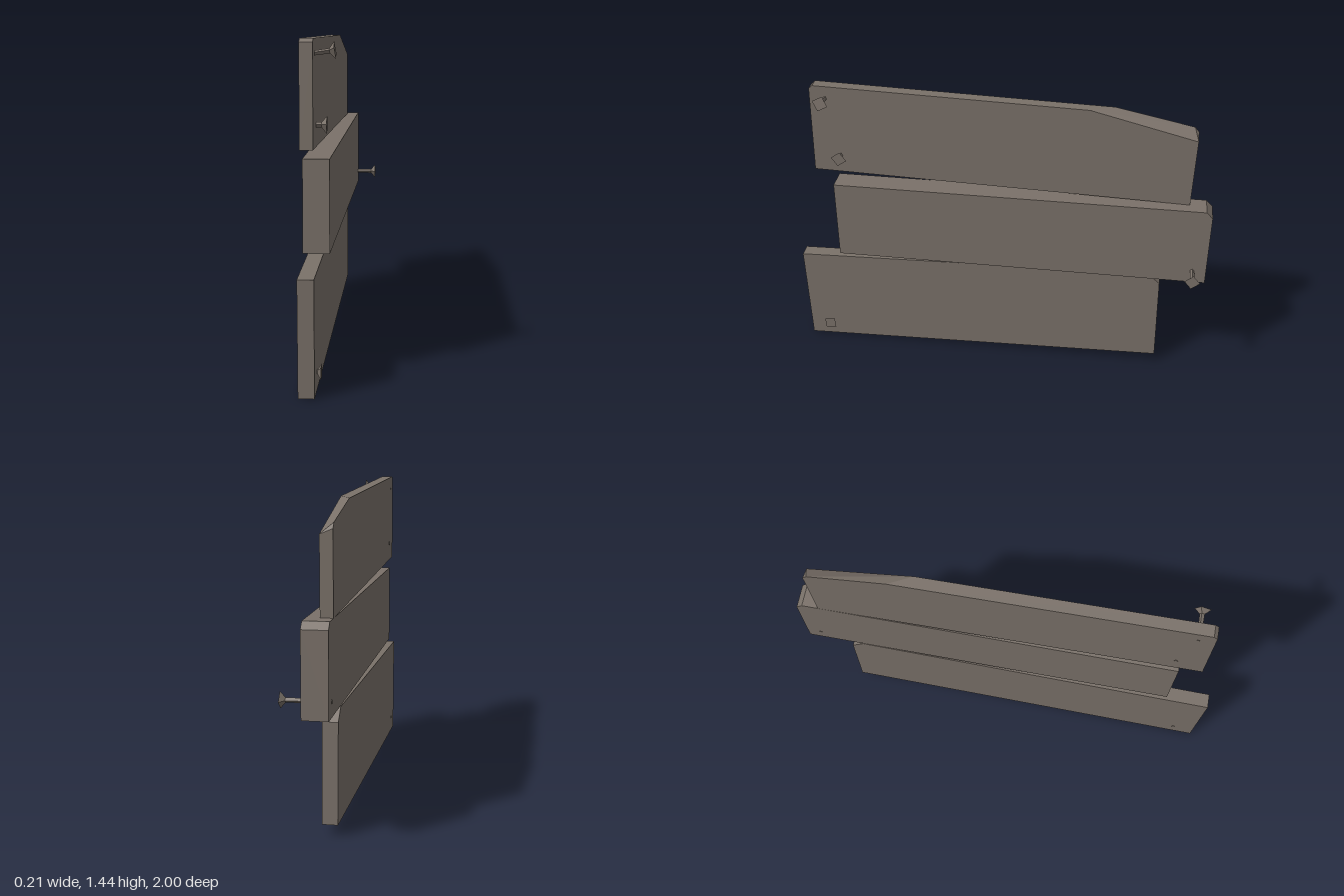
import * as THREE from 'three';
import { ConvexGeometry } from 'three/addons/geometries/ConvexGeometry.js';

const wood = new THREE.MeshStandardMaterial({ color: 0x7a7169 });
wood.name = 'weatheredBrown';

const BACK = -0.105; // shared rear plane of all boards
const deg = THREE.MathUtils.degToRad;

// Convex plank: [z, y] outlines on the nailed face and on the rear face
function board(name, faceX, face, rear = face) {
  const points = [
    ...face.map(([z, y]) => new THREE.Vector3(faceX, y, z)),
    ...rear.map(([z, y]) => new THREE.Vector3(BACK, y, z)),
  ];
  const mesh = new THREE.Mesh(new ConvexGeometry(points), wood);
  mesh.name = name;
  return mesh;
}

function facetedPrism(rTop, rBottom, from, to) {
  const geo = new THREE.CylinderGeometry(rTop, rBottom, to - from, 4).toNonIndexed();
  geo.computeVertexNormals();
  geo.translate(0, (from + to) / 2, 0);
  return new THREE.Mesh(geo, wood);
}

// Square nail pointing along +x; its head ends at headX, its tip pierces the rear
function nail(name, headX, y, z, turn, tilt = 0, headLength = 0.022) {
  const group = new THREE.Group();
  group.name = name;
  const length = headX - BACK + 0.002;
  const shaft = facetedPrism(0.011, 0.009, -length, -headLength);
  shaft.name = 'nailShaft';
  const head = facetedPrism(0.037, 0.011, -headLength, 0);
  head.name = 'nailHead';
  group.add(shaft, head);
  group.position.set(headX, y, z);
  group.rotation.set(0, deg(45 + turn), deg(-90 + tilt), 'ZYX');
  return group;
}

export function createModel() {
  const model = new THREE.Group();
  model.name = 'nailedBoards';

  // Top plank, with a corner sheared off at a slant through its thickness
  const topFront = [[0.89, 1.0], [0.882, 1.425], [0.865, 1.44]];
  model.add(board('topBoard', -0.05,
    [...topFront, [-0.41, 1.405], [-0.9, 1.283], [-0.893, 0.95]],
    [...topFront, [-0.52, 1.402], [-0.88, 1.328], [-0.9, 1.305], [-0.893, 0.95]]));

  // Thick middle plank
  model.add(board('middleBoard', 0.007,
    [[0.79, 0.555], [0.79, 0.95], [-0.97, 0.95], [-1, 0.92], [-1, 0.555]]));

  // Bottom plank, slightly askew
  model.add(board('bottomBoard', -0.037,
    [[0.99, 0.003], [1, 0.5], [-0.73, 0.55], [-0.79, 0.497], [-0.8, 0.055]]));

  // Protruding nails
  model.add(
    nail('topUpperNail', 0.032, 1.391, 0.81, 27, 8),
    nail('topLowerNail', -0.006, 1.086, 0.758, 35),
    nail('middleNail', 0.105, 0.621, -0.935, 40),
    nail('bottomNail', -0.019, 0.083, 0.888, 4, 0, 0.016),
  );
  return model;
}
